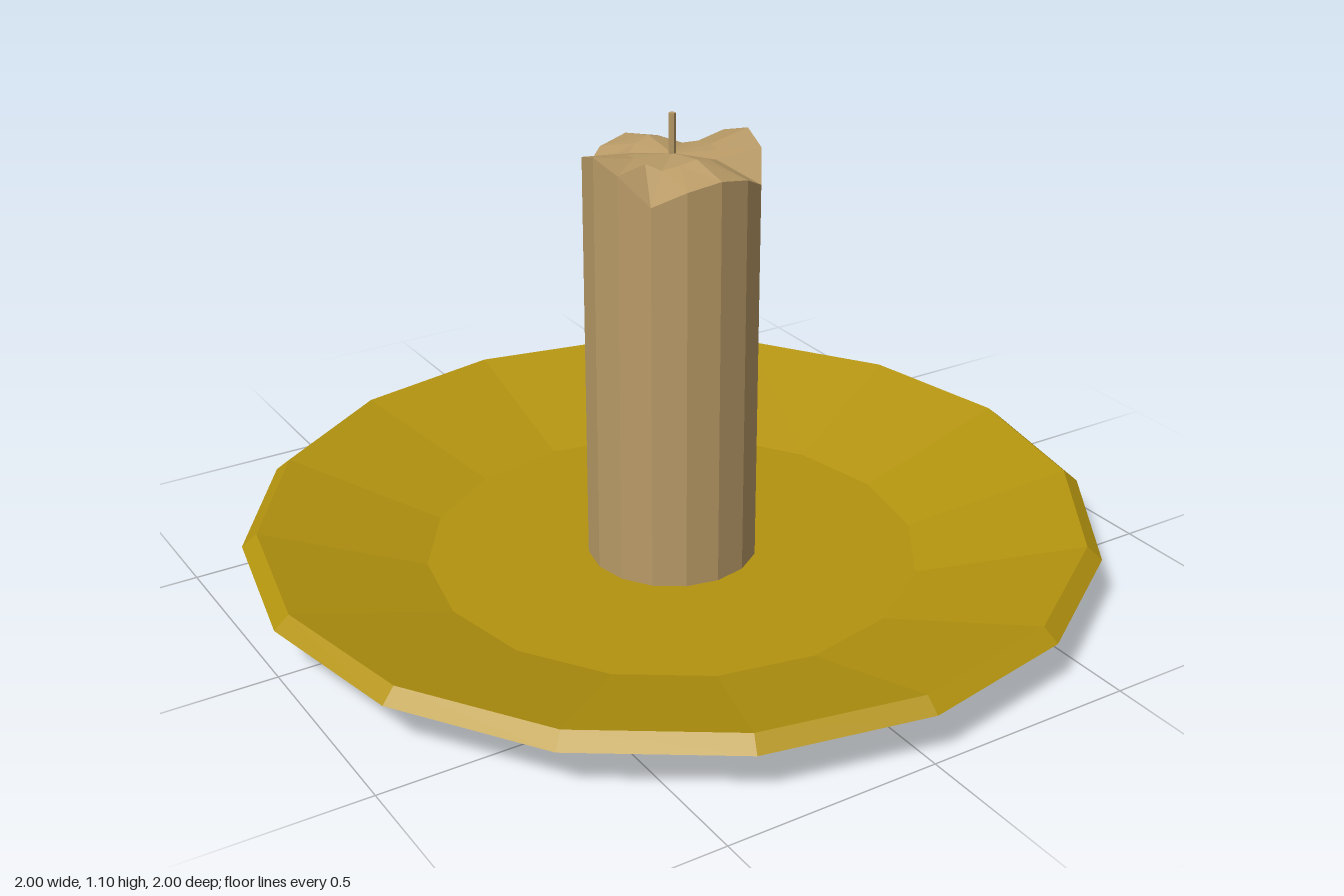
import * as THREE from 'three';

const SIDES = 16;

// Faceted solid of revolution; an optional rule moves its vertices first
function turned(profile, sides, rule) {
  const points = profile.map(([r, y]) => new THREE.Vector2(r, y));
  const smooth = new THREE.LatheGeometry(points, sides);
  if (rule) {
    const p = smooth.attributes.position;
    for (let i = 0; i < p.count; i++) p.setY(i, rule(p.getX(i), p.getY(i), p.getZ(i)));
  }
  const flat = smooth.toNonIndexed();
  flat.computeVertexNormals();
  return flat;
}

// Heights at 0, 22.5, 45, 67.5 and 90 degrees from the x axis, mirrored all round
const RIM = [1.033, 1.01, 0.95, 0.985, 1.0];
const INNER = [1.012, 1.01, 1.0, 1.012, 1.022];

function meltedTop(x, y, z) {
  const r = Math.hypot(x, z);
  if (y < 0.9 || r < 0.01) return y;
  const step = Math.round(Math.atan2(Math.abs(z), Math.abs(x)) / (Math.PI / 8));
  return (r > 0.15 ? RIM : INNER)[step];
}

export function createModel() {
  const brass = new THREE.MeshStandardMaterial({ color: 0xb3930f });
  brass.name = 'brass';
  const wax = new THREE.MeshStandardMaterial({ color: 0xb89a66 });
  wax.name = 'wax';

  const model = new THREE.Group();
  model.name = 'candleOnDish';
  const add = (name, geometry, material) => {
    const mesh = new THREE.Mesh(geometry, material);
    mesh.name = name;
    model.add(mesh);
    return mesh;
  };

  // Shallow dish with a bevelled rim
  add('dish', turned([
    [0, 0], [0.58, 0], [1, 0.115], [0.965, 0.145], [0.58, 0.03], [0, 0.03],
  ], SIDES), brass);

  // Candle with four melted notches in its top
  add('candle', turned([
    [0, 0.03], [0.2, 0.03], [0.2, 1], [0.1, 1.01], [0, 1.008],
  ], SIDES, meltedTop), wax);

  // Thin wick
  add('wick', turned([[0.008, 0.98], [0.008, 1.1], [0, 1.1]], 6), wax);

  return model;
}
